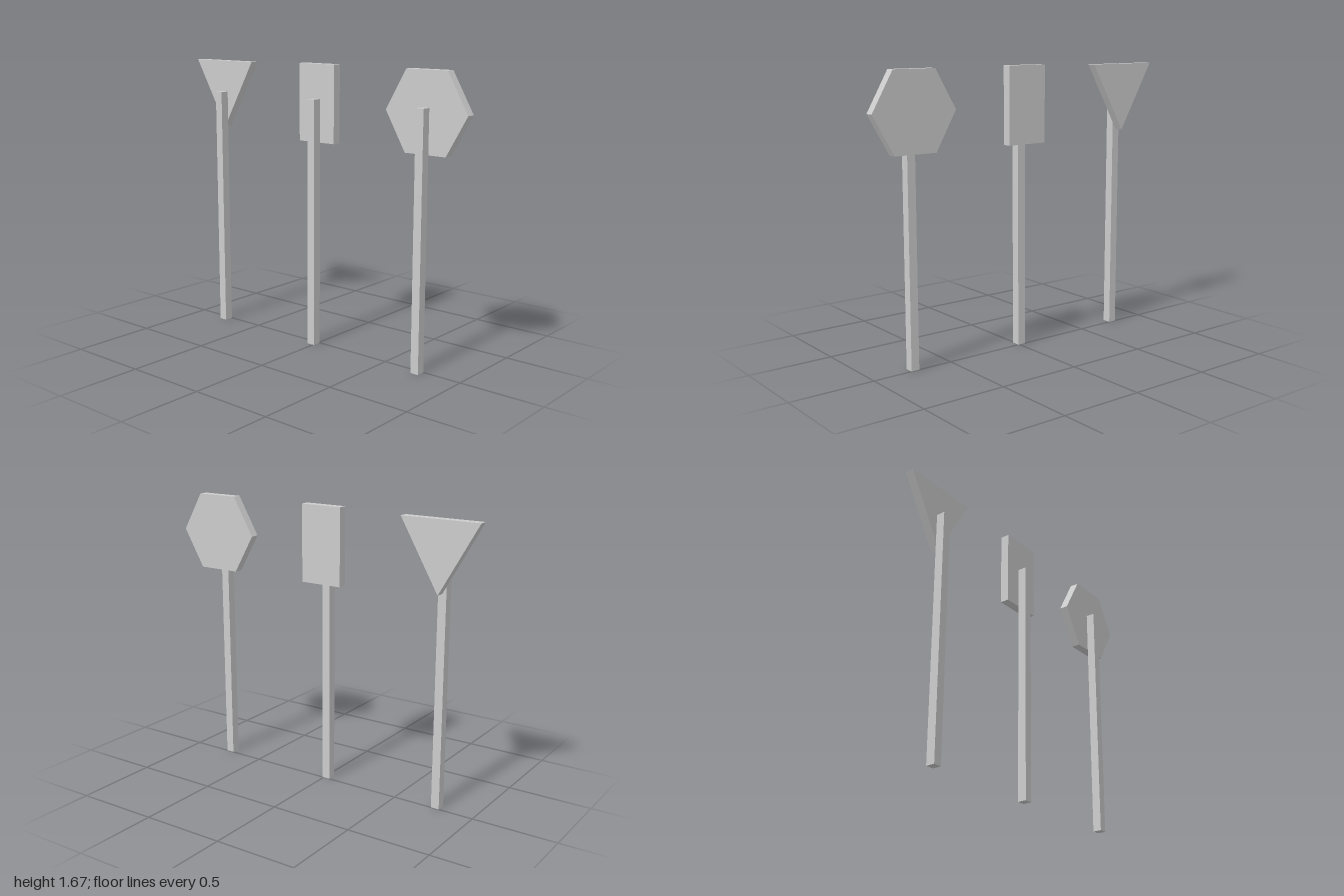
import * as THREE from 'three';

const DEPTH = 0.053;
const POST_HEIGHT = 1.47;

export function createModel() {
  const model = new THREE.Group();
  model.name = 'signPosts';
  const material = new THREE.MeshStandardMaterial({ color: 0xcccccc, flatShading: true });

  // Each sign is a square post with a flat plate fixed to its rear face
  function addSign(name, x, outline) {
    const sign = new THREE.Group();
    sign.name = name;
    sign.position.x = x;

    const post = new THREE.Mesh(new THREE.BoxGeometry(0.05, POST_HEIGHT, DEPTH), material);
    post.name = 'post';
    post.position.set(0, POST_HEIGHT / 2, DEPTH / 2);

    const shape = new THREE.Shape(outline.map(([px, py]) => new THREE.Vector2(px, py)));
    const plate = new THREE.Mesh(
      new THREE.ExtrudeGeometry(shape, { depth: DEPTH, bevelEnabled: false }), material);
    plate.name = 'plate';
    plate.position.z = -DEPTH;

    sign.add(post, plate);
    model.add(sign);
  }

  // Downward-pointing equilateral triangle
  const side = 0.47;
  const triangleTop = 1.66;
  addSign('triangleSign', -0.765, [
    [0, triangleTop - side * Math.sqrt(3) / 2],
    [side / 2, triangleTop],
    [-side / 2, triangleTop],
  ]);

  // Upright rectangle
  addSign('rectangleSign', -0.016, [
    [-0.129, 1.218], [0.129, 1.218], [0.129, 1.67], [-0.129, 1.67],
  ]);

  // Regular hexagon with flat top and bottom
  const radius = 0.261;
  const hexagon = [];
  for (let i = 0; i < 6; i++) {
    const a = i * Math.PI / 3;
    hexagon.push([0.003 + radius * Math.cos(a), 1.444 + radius * Math.sin(a)]);
  }
  addSign('hexagonSign', 0.736, hexagon);

  return model;
}
